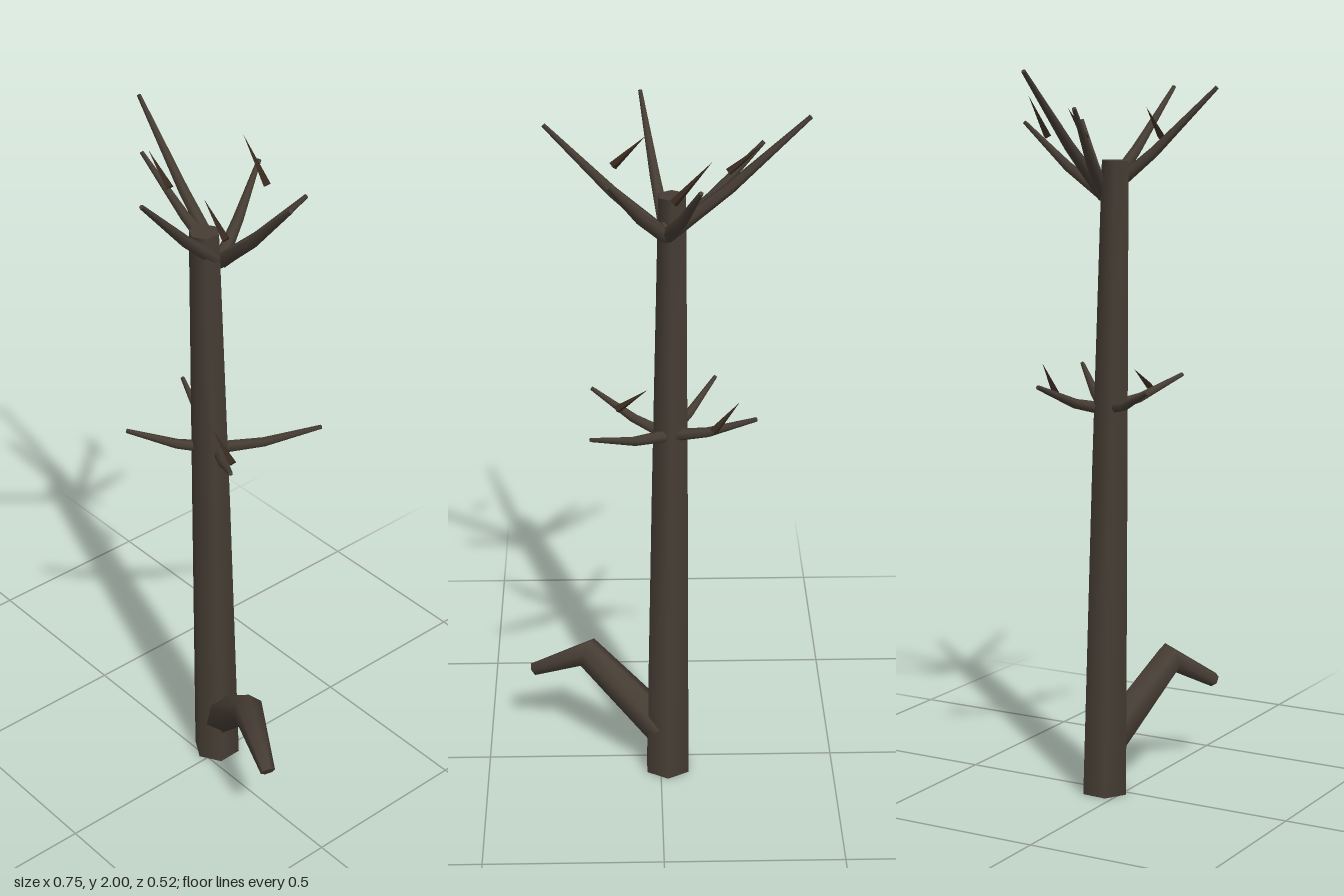
import * as THREE from 'three';

const SIDES = 6;
const UP = new THREE.Vector3(0, 1, 0);
const V = (p) => new THREE.Vector3(...p);

// Tapered hexagonal limb lofted through points, capped at both ends
function limbGeometry(points, radii) {
  const pts = points.map(V);
  const pos = [], idx = [];
  const ring = (i) => {
    const axis = pts[Math.min(i + 1, pts.length - 1)].clone().sub(pts[Math.max(i - 1, 0)]).normalize();
    const q = new THREE.Quaternion().setFromUnitVectors(UP, axis);
    for (let k = 0; k < SIDES; k++) {
      const a = (k / SIDES) * Math.PI * 2;
      const v = new THREE.Vector3(Math.sin(a), 0, Math.cos(a)).multiplyScalar(radii[i]);
      pos.push(...v.applyQuaternion(q).add(pts[i]).toArray());
    }
  };
  pts.forEach((_, i) => ring(i));
  for (let i = 0; i < pts.length - 1; i++) {
    for (let k = 0; k < SIDES; k++) {
      const a = i * SIDES + k, b = i * SIDES + (k + 1) % SIDES;
      idx.push(a, b, b + SIDES, a, b + SIDES, a + SIDES);
    }
  }
  // caps use their own rings so the rims stay sharp
  [0, pts.length - 1].forEach((end, n) => {
    const s = pos.length / 3;
    ring(end);
    for (let k = 1; k < SIDES - 1; k++) {
      if (n) idx.push(s, s + k, s + k + 1);
      else idx.push(s, s + k + 1, s + k);
    }
  });
  const g = new THREE.BufferGeometry();
  g.setAttribute('position', new THREE.Float32BufferAttribute(pos, 3));
  g.setIndex(idx);
  g.computeVertexNormals();
  return g;
}

export function createModel() {
  const model = new THREE.Group();
  model.name = 'deadTree';
  const bark = new THREE.MeshStandardMaterial({ color: 0x463d34 });
  const dryLeaf = new THREE.MeshStandardMaterial({ color: 0x38291f, flatShading: true });

  const addLimb = (name, points, radii, parent = model) => {
    const mesh = new THREE.Mesh(limbGeometry(points, radii), bark);
    mesh.name = name;
    parent.add(mesh);
  };

  // Trunk, leaning slightly forward
  addLimb('trunk', [[-0.02, 0, -0.053], [-0.025, 0.9, -0.033], [-0.03, 1.76, -0.012]], [0.069, 0.056, 0.041]);

  // Thick broken limb near the foot
  addLimb('brokenLimb', [[0, 0.14, -0.05], [0.21, 0.342, 0.03], [0.365, 0.248, 0.09]], [0.055, 0.045, 0.021]);

  // Whorls of thin upswept branches
  const whorl = (name, root, tips, r) => {
    const group = new THREE.Group();
    group.name = name;
    tips.forEach((tip) => {
      const mid = root.map((c, i) => c + (tip[i] - c) * 0.45);
      mid[1] -= 0.012;
      addLimb('branch', [root, mid, tip], [r, r * 0.75, 0.006], group);
    });
    model.add(group);
  };
  whorl('crownBranches', [-0.015, 1.665, -0.055], [
    [-0.375, 1.995, -0.083], [0.297, 1.952, -0.01], [0.048, 1.953, 0.252],
    [-0.095, 1.86, -0.256], [0.135, 1.86, -0.212], [-0.264, 1.9, 0],
  ], 0.02);
  whorl('middleBranches', [-0.02, 1.085, -0.05], [
    [0.186, 1.174, -0.243], [0.186, 1.165, 0.08], [-0.155, 1.16, 0.156], [-0.253, 1.168, -0.122],
  ], 0.018);

  // Small dry spikes: [tip, wide end]
  const spikes = [
    [[-0.123, 1.93, -0.225], [-0.028, 1.822, -0.225]],
    [[0.038, 1.9, 0.045], [0.122, 1.82, 0.045]],
    [[-0.26, 1.9, -0.02], [-0.175, 1.825, -0.02]],
    [[-0.206, 1.225, -0.135], [-0.138, 1.14, -0.137]],
    [[0.035, 1.192, 0.01], [0.118, 1.132, 0.014]],
  ];
  const leaves = new THREE.Group();
  leaves.name = 'dryLeaves';
  spikes.forEach(([tip, end]) => {
    const a = V(end), dir = V(tip).sub(a);
    const leaf = new THREE.Mesh(new THREE.ConeGeometry(0.012, dir.length(), 4), dryLeaf);
    leaf.name = 'dryLeaf';
    leaf.position.copy(a).addScaledVector(dir, 0.5);
    leaf.quaternion.setFromUnitVectors(UP, dir.normalize());
    leaves.add(leaf);
  });
  model.add(leaves);
  return model;
}
